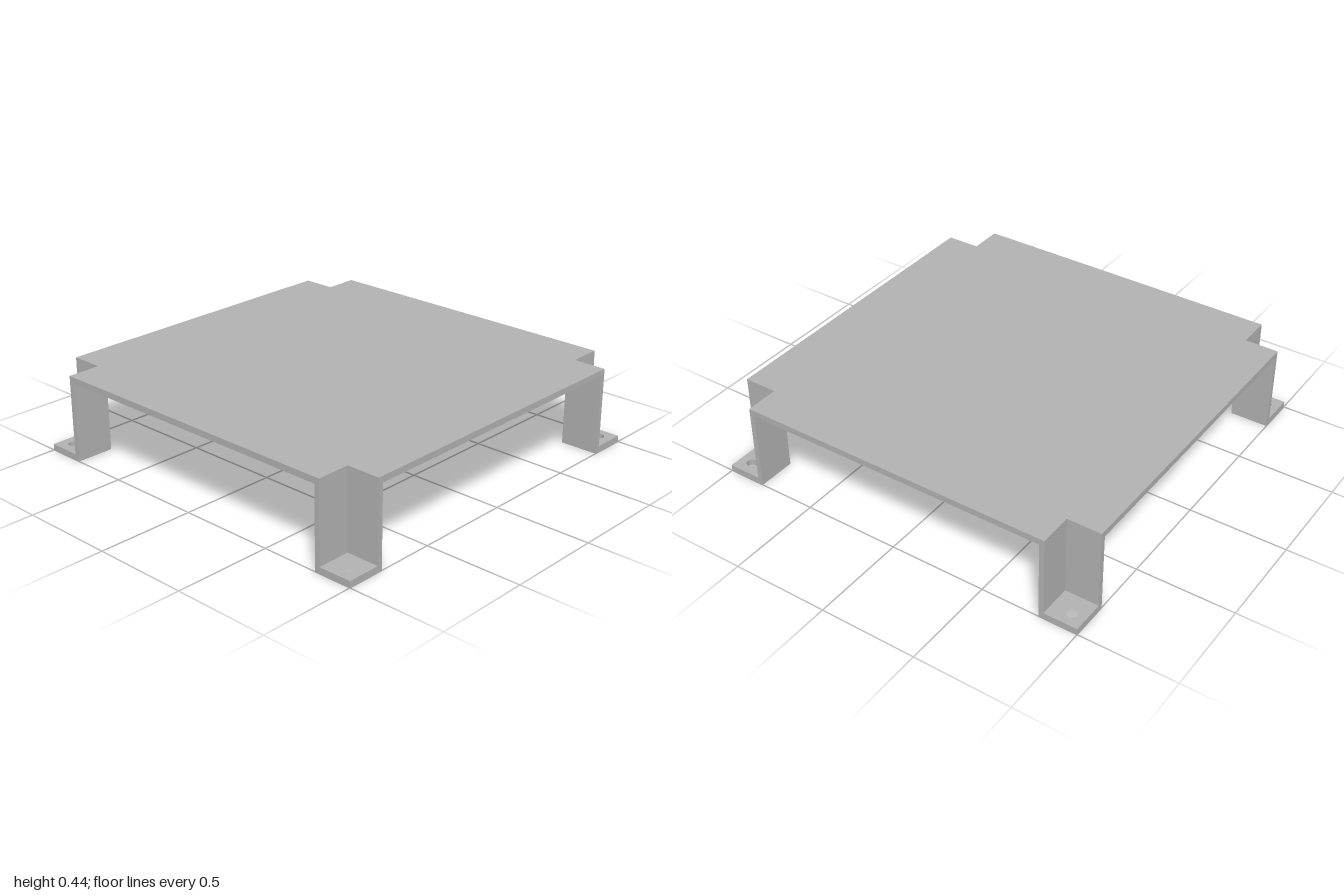
import * as THREE from 'three';

const HEIGHT = 0.445, SHEET = 0.032; // overall height, plate and foot thickness
const INNER = 0.8, NOTCH = 0.826, EDGE = 1; // leg inside face, notch face, outer edge
const HOLE = 0.93, HOLE_R = 0.027;

export function createModel() {
  const model = new THREE.Group();
  model.name = 'standPlatform';
  const metal = new THREE.MeshStandardMaterial({ color: 0xb2b2b2 });
  metal.name = 'grey metal';

  // Extrude a plan outline upwards from y0 to y1
  function slab(name, shape, y0, y1, parent) {
    const geometry = new THREE.ExtrudeGeometry(shape, { depth: y1 - y0, bevelEnabled: false, curveSegments: 32 });
    geometry.rotateX(-Math.PI / 2);
    geometry.translate(0, y0, 0);
    const mesh = new THREE.Mesh(geometry, metal);
    mesh.name = name;
    parent.add(mesh);
  }
  const outline = (points) => new THREE.Shape(points.map(([x, y]) => new THREE.Vector2(x, y)));

  // Top plate with a square notch at each corner
  const n = NOTCH, e = EDGE;
  slab('topPlate', outline([
    [-n, -e], [n, -e], [n, -n], [e, -n], [e, n], [n, n],
    [n, e], [-n, e], [-n, n], [-e, n], [-e, -n], [-n, -n],
  ]), HEIGHT - SHEET, HEIGHT, model);

  // Four corner legs: an angle wall standing on a drilled foot
  for (const sx of [-1, 1]) {
    for (const sz of [-1, 1]) {
      const leg = new THREE.Group();
      leg.name = (sz > 0 ? 'front' : 'back') + (sx > 0 ? 'Left' : 'Right') + 'Leg';
      const corner = (points) => outline(points.map(([x, z]) => [x * sx, -z * sz]));

      slab('angleWall', corner([
        [INNER, INNER], [e, INNER], [e, n], [n, n], [n, e], [INNER, e],
      ]), SHEET, HEIGHT - SHEET, leg);

      const foot = corner([[INNER, INNER], [e, INNER], [e, e], [INNER, e]]);
      foot.holes.push(new THREE.Path().absarc(HOLE * sx, -HOLE * sz, HOLE_R, 0, Math.PI * 2, true));
      slab('foot', foot, 0, SHEET, leg);
      model.add(leg);
    }
  }
  return model;
}
